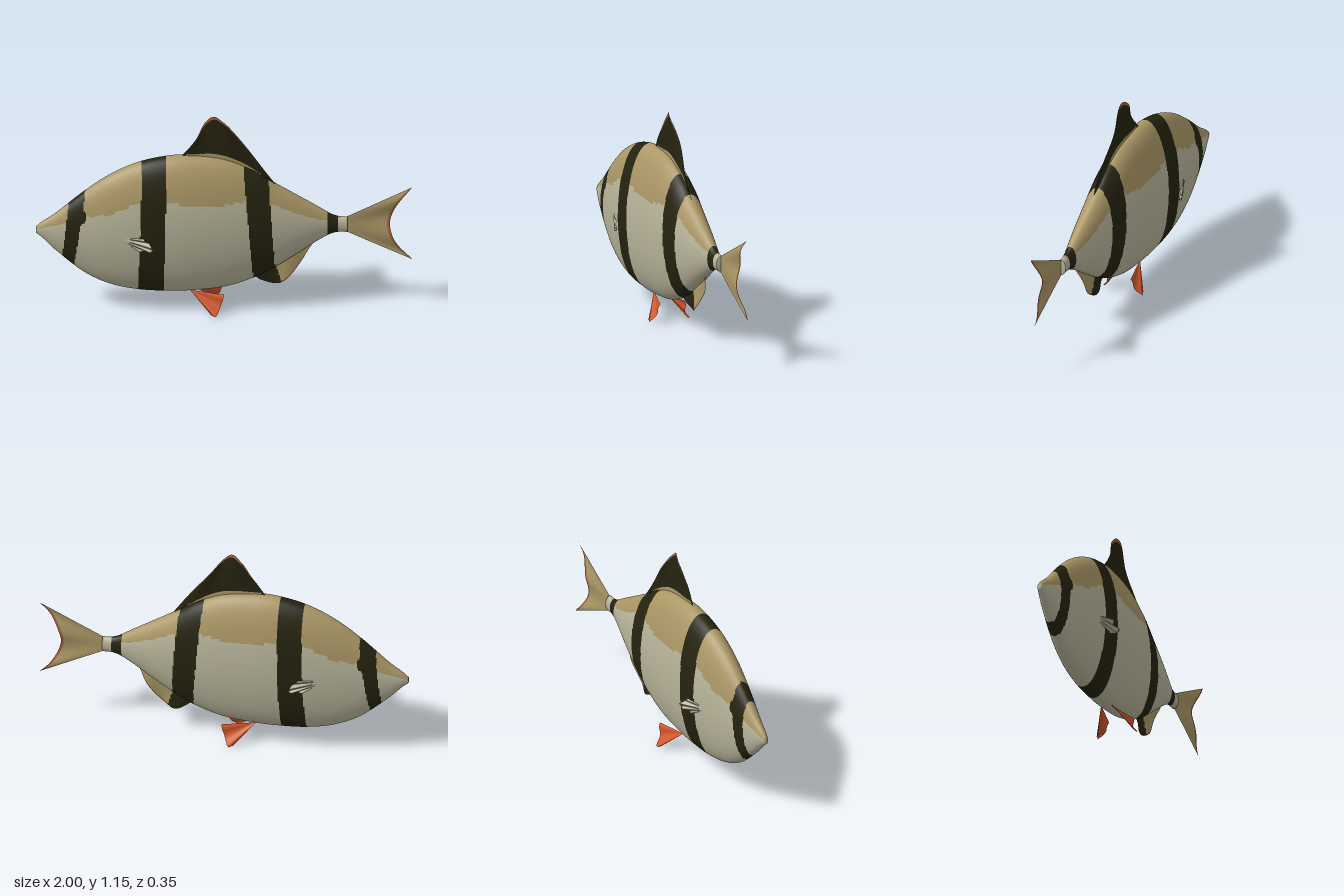
import * as THREE from 'three';

const material = (name, color) =>
  new THREE.MeshStandardMaterial({ name, color, side: THREE.DoubleSide });

// Smooth interpolation through [x, a, b, ...] rows
function sample(rows, x, k) {
  let i = 0;
  while (i < rows.length - 2 && x > rows[i + 1][0]) i++;
  const slope = (n) => {
    const p = rows[Math.max(n - 1, 0)], q = rows[Math.min(n + 1, rows.length - 1)];
    return (q[k] - p[k]) / (q[0] - p[0]);
  };
  const h = rows[i + 1][0] - rows[i][0];
  const t = (x - rows[i][0]) / h, t2 = t * t, t3 = t2 * t;
  return (2 * t3 - 3 * t2 + 1) * rows[i][k] + (t3 - 2 * t2 + t) * h * slope(i)
    + (3 * t2 - 2 * t3) * rows[i + 1][k] + (t3 - t2) * h * slope(i + 1);
}

// Grid surface; each quad takes the material chosen by pick(centre, u, v)
function surface(name, nu, nv, pointAt, pick, mats, closed = false) {
  const cols = closed ? nv : nv + 1;
  const pts = [], positions = [], buckets = mats.map(() => []);
  for (let i = 0; i <= nu; i++) {
    for (let j = 0; j < cols; j++) {
      const p = pointAt(i / nu, j / nv, i);
      pts.push(p);
      positions.push(p.x, p.y, p.z);
    }
  }
  for (let i = 0; i < nu; i++) {
    for (let j = 0; j < nv; j++) {
      const k = (j + 1) % cols;
      const a = i * cols + j, b = i * cols + k, c = a + cols, d = b + cols;
      const mid = pts[a].clone().add(pts[b]).add(pts[c]).add(pts[d]).multiplyScalar(0.25);
      buckets[pick(mid, (i + 0.5) / nu, (j + 0.5) / nv)].push(a, b, c, b, d, c);
    }
  }
  const geometry = new THREE.BufferGeometry();
  geometry.setAttribute('position', new THREE.Float32BufferAttribute(positions, 3));
  geometry.setIndex(buckets.flat());
  let start = 0;
  buckets.forEach((bucket, m) => {
    if (bucket.length) geometry.addGroup(start, bucket.length, m);
    start += bucket.length;
  });
  geometry.computeVertexNormals();
  const mesh = new THREE.Mesh(geometry, mats);
  mesh.name = name;
  return mesh;
}

const curve = (pts) =>
  new THREE.CatmullRomCurve3(pts.map(([x, y, z = 0]) => new THREE.Vector3(x, y, z)), false, 'centripetal');

// Fin stretched from a base curve to an edge curve, with a sideways ripple
function fin(name, base, edge, ripple, pick, mats) {
  const from = curve(base), to = curve(edge);
  return surface(name, 48, 32, (u, v) => {
    const p = from.getPoint(u).lerp(to.getPoint(u), v);
    p.z += ripple(u, v);
    return p;
  }, pick, mats);
}

// x, top, bottom, half width
const BODY = [
  [-1, 0.495, 0.46, 0.012], [-0.97, 0.522, 0.435, 0.023], [-0.9, 0.572, 0.36, 0.042],
  [-0.74, 0.71, 0.22, 0.078], [-0.6, 0.81, 0.15, 0.105], [-0.45, 0.88, 0.117, 0.125],
  [-0.3, 0.915, 0.108, 0.133], [-0.18, 0.92, 0.11, 0.135], [0, 0.895, 0.13, 0.126],
  [0.15, 0.83, 0.18, 0.111], [0.26, 0.755, 0.24, 0.096], [0.4, 0.667, 0.335, 0.07],
  [0.5, 0.605, 0.405, 0.047], [0.57, 0.56, 0.445, 0.031], [0.61, 0.546, 0.454, 0.026],
  [0.655, 0.543, 0.453, 0.025],
];
// Lower limit of the tan back
const BACK = [
  [-1, 0.485], [-0.85, 0.54], [-0.74, 0.585], [-0.6, 0.62], [-0.46, 0.685], [-0.3, 0.695],
  [-0.08, 0.668], [0.1, 0.69], [0.26, 0.655], [0.4, 0.59], [0.55, 0.54], [0.655, 0.548],
];
// Dark bands: [left x, right x] at y = 0.2, then at y = 0.8
const BANDS = [
  [-0.875, -0.81, -0.81, -0.725], [-0.457, -0.32, -0.438, -0.308],
  [0.155, 0.275, 0.108, 0.235], [0.55, 0.605, 0.55, 0.605],
];

export function createModel() {
  const cream = material('cream flank', 0xb9b59b);
  const tan = material('tan back', 0xab9766);
  const dark = material('dark band', 0x25230f);
  const brown = material('brown fringe', 0xa5603a);
  const orange = material('orange fin', 0xd2562a);
  const fish = new THREE.Group();
  fish.name = 'fish';

  // Body with closed nose and tail ends
  const rings = 270;
  fish.add(surface('body', rings, 120, (u, v, i) => {
    const t = THREE.MathUtils.clamp((i - 1) / (rings - 2), 0, 1);
    const x = -1 + 1.655 * t;
    const top = sample(BODY, x, 1), bottom = sample(BODY, x, 2);
    const r = i === 0 || i === rings ? 0 : 1;
    const a = v * Math.PI * 2;
    return new THREE.Vector3(x, (top + bottom) / 2 + r * Math.cos(a) * (top - bottom) / 2,
      r * Math.sin(a) * sample(BODY, x, 3));
  }, (p) => {
    const t = (p.y - 0.2) / 0.6;
    const banded = BANDS.some(([l0, r0, l1, r1]) =>
      p.x > l0 + (l1 - l0) * t && p.x < r0 + (r1 - r0) * t);
    const eye = Math.hypot(p.x + 0.783, p.y - 0.588) < 0.05;
    if (banded || eye) return 2;
    return p.y > sample(BACK, p.x, 1) ? 1 : 0;
  }, [cream, tan, dark], true));

  // Dorsal fin: tan foot, dark sail, brown fringe
  fish.add(fin('dorsalFin',
    [[-0.22, 0.9], [-0.1, 0.9], [0.05, 0.86], [0.16, 0.81], [0.27, 0.735]],
    [[-0.228, 0.915], [-0.15, 1.02], [-0.1, 1.115], [-0.05, 1.155], [0, 1.12], [0.07, 1.03],
      [0.16, 0.91], [0.275, 0.745]],
    (u, v) => 0.009 * v * Math.sin(u * 15),
    (p, u, v) => {
      if (v > 0.93 && u > 0.15 && u < 0.9) return 2;
      const foot = 0.93 - 1.1 * Math.max(0, p.x + 0.06) ** 1.6;
      return p.x > -0.2 && p.x < 0.2 && p.y < foot ? 0 : 1;
    }, [tan, dark, brown]));

  // Anal fin: dark front, tan rear
  fish.add(fin('analFin',
    [[0.15, 0.21], [0.26, 0.27], [0.38, 0.36], [0.48, 0.42]],
    [[0.152, 0.205], [0.2, 0.165], [0.27, 0.138], [0.33, 0.17], [0.41, 0.27], [0.455, 0.36], [0.482, 0.405]],
    (u, v) => 0.009 * v * Math.sin(u * 16),
    (p, u, v) => {
      if (p.x < 0.27 + 0.3 * (0.27 - p.y)) return 1;
      return v > 0.95 ? 2 : 0;
    }, [tan, dark, brown]));

  // Tail fin with a brown trailing fringe
  fish.add(fin('tailFin',
    [[0.645, 0.54], [0.645, 0.5], [0.645, 0.457]],
    [[1, 0.718], [0.94, 0.645], [0.9, 0.57], [0.882, 0.5], [0.898, 0.42], [0.94, 0.345], [1, 0.28]],
    (u, v) => 0.01 * v * v * Math.sin(u * 12),
    (p, u, v) => (v > 0.94 ? 1 : 0), [tan, brown]));

  // Paired fins, mirrored across z
  for (const side of [1, -1]) {
    const label = side > 0 ? 'left' : 'right';
    const flip = (pts) => pts.map(([x, y, z]) => [x, y, z * side]);

    fish.add(fin(label + 'PelvicFin',
      flip([[-0.17, 0.118, 0.028], [-0.175, 0.12, 0.03], [-0.18, 0.122, 0.032]]),
      flip([[0, 0.112, 0.07], [-0.012, 0.07, 0.078], [-0.03, 0.025, 0.1], [-0.05, 0.002, 0.114],
        [-0.07, 0.01, 0.113]]),
      (u, v) => 0.006 * v * Math.sin(u * 12) * side,
      () => 0, [orange]));

    fish.add(fin(label + 'PectoralFin',
      flip([[-0.52, 0.485, 0.117], [-0.525, 0.468, 0.117], [-0.515, 0.45, 0.117]]),
      flip([[-0.43, 0.497, 0.148], [-0.4, 0.47, 0.16], [-0.375, 0.437, 0.168], [-0.4, 0.42, 0.156],
        [-0.45, 0.417, 0.138]]),
      (u, v) => 0.009 * v * Math.sin(u * 20) * side,
      (p, u, v) => (v > 0.95 && u > 0.35 && u < 0.7 ? 1 : 0), [cream, brown]));
  }
  return fish;
}
